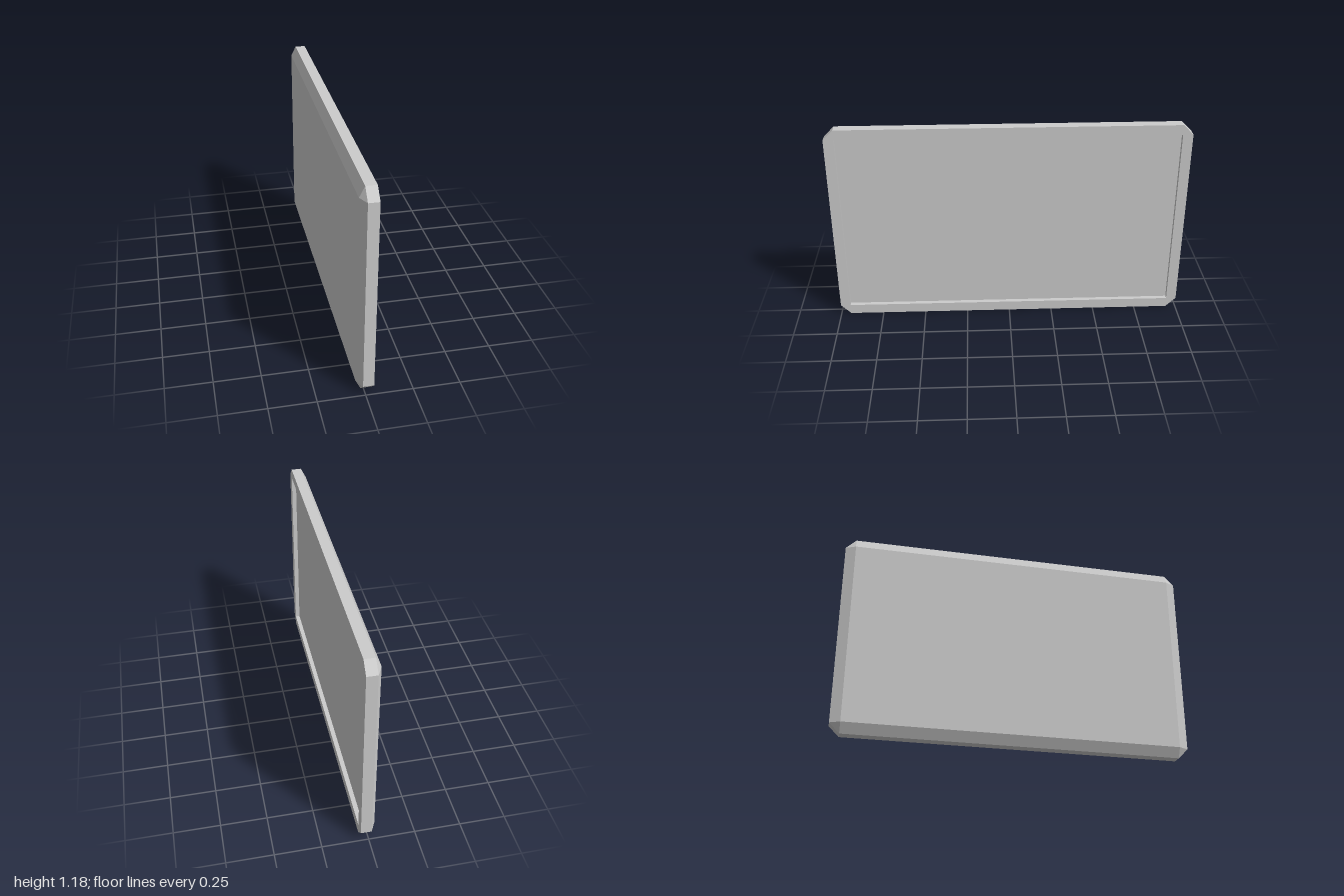
import * as THREE from 'three';

const HALF_W = 1;        // half width along z
const HALF_H = 0.588;    // half height along y
const BEVEL = 0.057;     // corner cut and rim width

// Eight points, counter-clockwise seen from +x; a sharp loop doubles its four corners.
function loop(x, sharp) {
  const w = HALF_W - BEVEL, h = HALF_H - BEVEL;
  const W = sharp ? w : HALF_W, H = sharp ? h : HALF_H;
  return [
    [W, h], [w, H], [-w, H], [-W, h],
    [-W, -h], [-w, -H], [w, -H], [W, -h],
  ].map(([u, v]) => new THREE.Vector3(x, v + HALF_H, -u));
}

// Skins a series of loops and closes both ends, dropping collapsed triangles.
function loft(loops) {
  const points = [];
  const tri = (a, b, c) => {
    if (new THREE.Triangle(a, b, c).getArea() > 1e-7) points.push(a, b, c);
  };
  for (let k = 0; k < loops.length - 1; k++) {
    const a = loops[k], b = loops[k + 1];
    for (let i = 0; i < a.length; i++) {
      const j = (i + 1) % a.length;
      tri(a[i], a[j], b[j]);
      tri(a[i], b[j], b[i]);
    }
  }
  const first = loops[0], last = loops[loops.length - 1];
  for (let i = 1; i < first.length - 1; i++) {
    tri(first[0], first[i + 1], first[i]);
    tri(last[0], last[i], last[i + 1]);
  }
  const geometry = new THREE.BufferGeometry().setFromPoints(points);
  geometry.computeVertexNormals();
  return geometry;
}

export function createModel() {
  const model = new THREE.Group();
  model.name = 'panel';

  const shell = loft([
    loop(-0.043, true),   // flat back face
    loop(-0.015, false),  // end of the back bevel
    loop(0.043, false),   // outer edge of the rim
    loop(0.043, true),    // inner edge of the rim
    loop(0.018, true),    // recessed floor
  ]);
  const material = new THREE.MeshStandardMaterial({ color: 0xcccccc, flatShading: true });
  const panel = new THREE.Mesh(shell, material);
  panel.name = 'recessedPanel';
  model.add(panel);

  return model;
}
